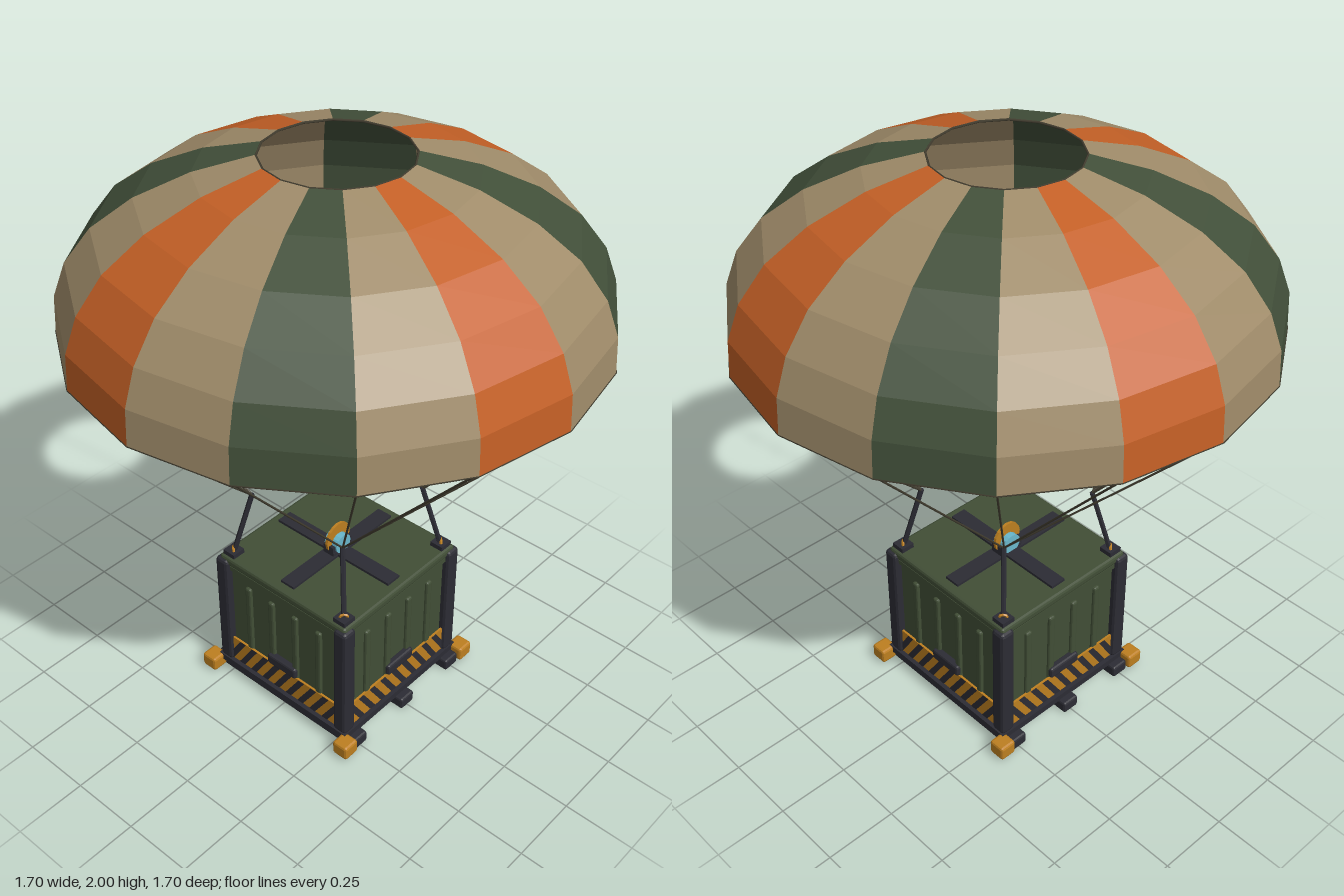
import * as THREE from 'three';
import { RoundedBoxGeometry } from 'three/addons/geometries/RoundedBoxGeometry.js';

const mat = (name, color, opts = {}) => new THREE.MeshStandardMaterial({ name, color, ...opts });

export function createModel() {
  const both = { side: THREE.DoubleSide, flatShading: true };
  const sand = mat('sand fabric', 0xa08c6a, both);
  const orange = mat('orange fabric', 0xc46026, both);
  const green = mat('green fabric', 0x42503a, both);
  const crateGreen = mat('crate green', 0x414e36, { flatShading: true });
  const dark = mat('dark metal', 0x2c2c34, { flatShading: true });
  const amber = mat('amber paint', 0xbd7f20, { flatShading: true });
  const cyan = mat('beacon lens', 0x6ab8cc, { flatShading: true });
  const cord = mat('cord', 0x454032);

  const model = new THREE.Group();
  model.name = 'supplyDrop';
  const add = (name, geo, material, x = 0, y = 0, z = 0, parent = model) => {
    const m = new THREE.Mesh(geo, material);
    m.name = name;
    m.position.set(x, y, z);
    parent.add(m);
    return m;
  };
  const box = (w, h, d) => new THREE.BoxGeometry(w, h, d);
  const chamferBox = (w, h, d, c) => new RoundedBoxGeometry(w, h, d, 1, c);
  // Straight rod between two points
  const rod = (name, a, b, r, sides, material) => {
    const dir = b.clone().sub(a);
    const m = add(name, new THREE.CylinderGeometry(r, r, dir.length(), sides), material);
    m.position.copy(a).add(b).multiplyScalar(0.5);
    m.quaternion.setFromUnitVectors(new THREE.Vector3(0, 1, 0), dir.normalize());
  };

  // Canopy: sixteen gores around an open vent
  const profile = [[0.85, 1.44], [0.842, 1.56], [0.80, 1.672], [0.715, 1.782],
    [0.585, 1.875], [0.415, 1.95], [0.23, 1.998]];
  const N = 16;
  const fabrics = [orange, sand, green, sand];
  const at = (r, y, k) => {
    const a = (k / N) * Math.PI * 2;
    return new THREE.Vector3(r * Math.cos(a), y, r * Math.sin(a));
  };
  for (let k = 0; k < N; k++) {
    const pts = [];
    for (let i = 0; i < profile.length - 1; i++) {
      const [r0, y0] = profile[i], [r1, y1] = profile[i + 1];
      const a = at(r0, y0, k), b = at(r1, y1, k), c = at(r1, y1, k + 1), d = at(r0, y0, k + 1);
      pts.push(a, b, c, a, c, d);
    }
    const geo = new THREE.BufferGeometry().setFromPoints(pts);
    geo.computeVertexNormals();
    add('canopyGore', geo, fabrics[k % 4]);
  }
  for (const [name, r, y] of [['canopyHem', 0.848, 1.441], ['ventHem', 0.23, 1.996]]) {
    add(name, new THREE.TorusGeometry(r, 0.004, 4, N), cord, 0, y, 0).rotation.x = Math.PI / 2;
  }

  // Suspension lines gathered in fours, with a riser strap to each crate corner
  const corners = [[1, 1], [-1, 1], [-1, -1], [1, -1]];
  for (let k = 0; k < N; k++) {
    const [sx, sz] = corners[Math.floor(k / 4)];
    rod('suspensionLine', at(0.84, 1.442, k), new THREE.Vector3(sx * 0.2, 0.78, sz * 0.2), 0.0035, 5, cord);
  }
  for (const [sx, sz] of corners) {
    rod('riserStrap', new THREE.Vector3(sx * 0.2, 0.785, sz * 0.2),
      new THREE.Vector3(sx * 0.248, 0.545, sz * 0.248), 0.009, 6, dark);
    add('cornerLug', box(0.05, 0.022, 0.05), dark, sx * 0.25, 0.538, sz * 0.25);
    const ring = add('shackle', new THREE.TorusGeometry(0.014, 0.005, 5, 8), amber, sx * 0.25, 0.545, sz * 0.25);
    ring.rotation.y = Math.PI / 4 * sx * sz;
    add('cornerPost', chamferBox(0.055, 0.46, 0.055, 0.012), dark, sx * 0.269, 0.29, sz * 0.269);
    add('bumper', chamferBox(0.062, 0.054, 0.062, 0.009), amber, sx * 0.313, 0.037, sz * 0.313);
  }

  // Crate body, lid and pallet
  add('crateBody', box(0.54, 0.45, 0.54), crateGreen, 0, 0.285, 0);
  add('lid', chamferBox(0.57, 0.034, 0.57, 0.01), crateGreen, 0, 0.515, 0);
  add('lidStrapAcross', box(0.5, 0.012, 0.058), dark, 0, 0.535, 0);
  add('lidStrapAlong', box(0.058, 0.012, 0.5), dark, 0, 0.5355, 0);
  add('palletDeck', box(0.6, 0.025, 0.6), dark, 0, 0.053, 0);
  for (const x of [-0.25, 0, 0.25]) {
    add('skid', chamferBox(0.065, 0.044, 0.66, 0.008), dark, x, 0.022, 0);
  }

  // Four crate sides: ribs, latch and hazard band
  for (let f = 0; f < 4; f++) {
    const side = new THREE.Group();
    side.name = 'crateSide';
    side.rotation.y = f * Math.PI / 2;
    model.add(side);
    for (let i = 0; i < 4; i++) {
      add('rib', chamferBox(0.026, 0.3, 0.02, 0.007), crateGreen, -0.16 + i * 0.1067, 0.29, 0.272, side);
    }
    add('lidLip', box(0.5, 0.018, 0.014), crateGreen, 0, 0.488, 0.274, side);
    add('latch', chamferBox(0.13, 0.042, 0.03, 0.008), dark, 0, 0.187, 0.279, side);
    add('hazardBand', box(0.49, 0.1, 0.008), amber, 0, 0.115, 0.28, side);
    // Slanted stripes run under the corner posts at both ends
    const lean = f % 2 ? 0.032 : -0.032;
    for (let i = -4; i <= 4; i++) {
      const x = i * 0.056, w = 0.013;
      const s = new THREE.Shape([
        new THREE.Vector2(x - w - lean, 0.065), new THREE.Vector2(x + w - lean, 0.065),
        new THREE.Vector2(x + w + lean, 0.165), new THREE.Vector2(x - w + lean, 0.165)]);
      add('hazardStripe', new THREE.ShapeGeometry(s), dark, 0, 0, 0.2855, side);
    }
  }

  // Beacon on the lid
  const disc = (name, r, len, material, y) => {
    add(name, new THREE.CylinderGeometry(r, r, len, 16), material, 0, y, 0).rotation.x = Math.PI / 2;
  };
  disc('beaconLens', 0.036, 0.054, cyan, 0.57);
  disc('beaconDisc', 0.057, 0.01, amber, 0.587);
  add('beaconBase', box(0.09, 0.012, 0.05), dark, 0, 0.545, 0);
  for (const x of [-0.042, 0.042]) {
    add('beaconBracket', box(0.012, 0.04, 0.044), dark, x, 0.556, 0);
  }
  return model;
}
